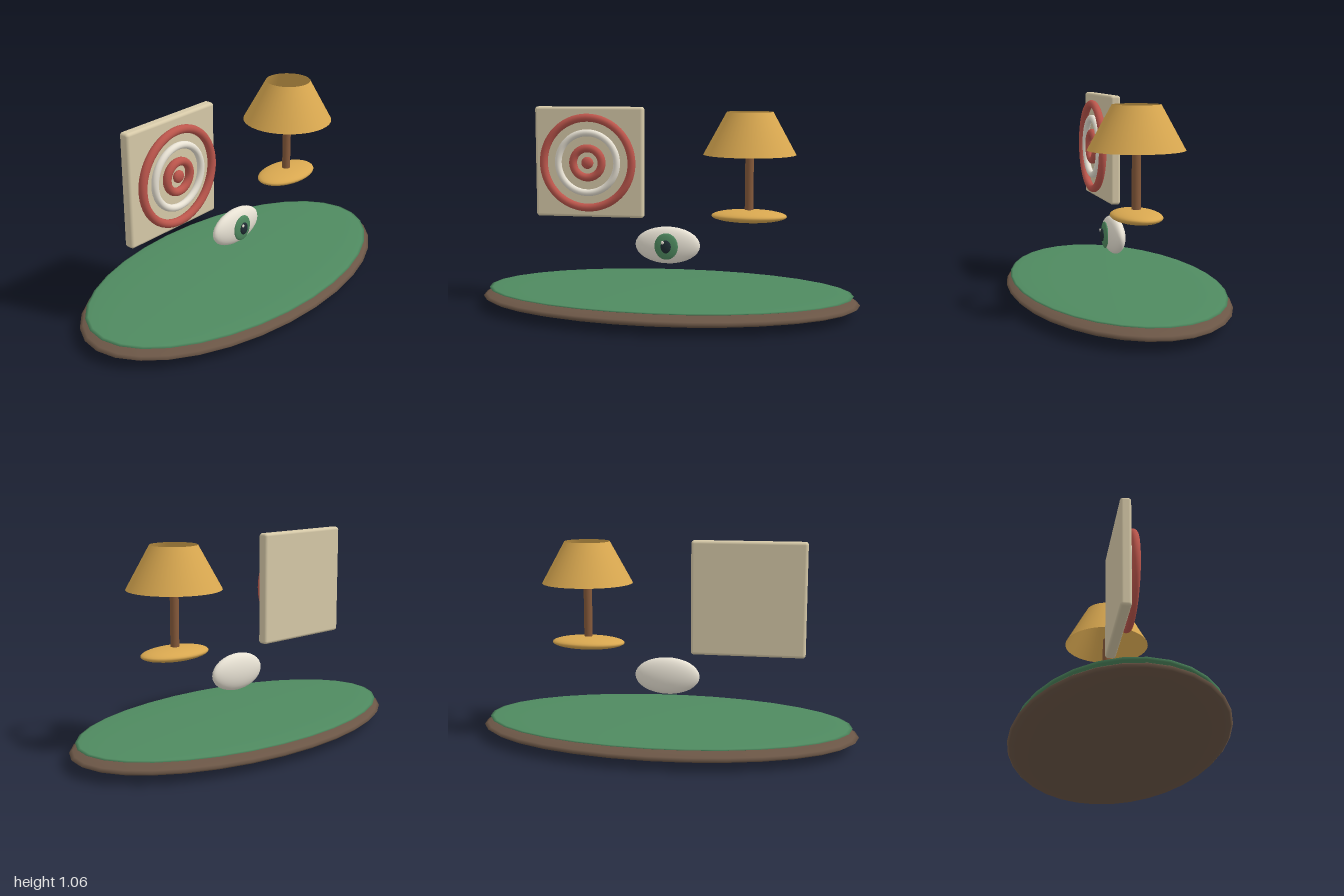
import * as THREE from 'three';
import { RoundedBoxGeometry } from 'three/addons/geometries/RoundedBoxGeometry.js';

export function createModel() {
  const model = new THREE.Group();
  const paint = (color) => new THREE.MeshStandardMaterial({ color });
  const brown = paint(0x6b5646), green = paint(0x4f8a60), cream = paint(0xd6c9a8);
  const red = paint(0xbc564c), white = paint(0xe8e2d4), gold = paint(0xd9a850);
  const wood = paint(0x85593a), dark = paint(0x1f2c33);
  const shadeGold = paint(0xd9a850);
  shadeGold.side = THREE.DoubleSide;

  function add(parent, name, geometry, material, x, y, z) {
    const mesh = new THREE.Mesh(geometry, material);
    mesh.name = name;
    mesh.position.set(x, y, z);
    parent.add(mesh);
    return mesh;
  }
  function group(name, x, y, z) {
    const g = new THREE.Group();
    g.name = name;
    g.position.set(x, y, z);
    model.add(g);
    return g;
  }
  const ellipsoid = (rx, ry, rz) => new THREE.SphereGeometry(1, 32, 16).scale(rx, ry, rz);

  // Oval island with a thin green top
  const island = group('island', 0, 0, 0);
  add(island, 'ground', ellipsoid(1, 0.058, 0.546), brown, 0, 0.058, 0);
  add(island, 'grass', ellipsoid(0.967, 0.019, 0.524), green, 0, 0.103, 0);

  // Floating eye, looking forward
  const eye = group('eye', 0, 0.342, 0);
  add(eye, 'eyeball', ellipsoid(0.172, 0.098, 0.047), white, 0, 0, 0);
  add(eye, 'iris', ellipsoid(0.062, 0.07, 0.013), green, 0, 0, 0.046);
  add(eye, 'pupil', ellipsoid(0.027, 0.034, 0.011), dark, 0, 0, 0.059);
  add(eye, 'glint', ellipsoid(0.008, 0.009, 0.004), white, -0.016, 0.023, 0.067);

  // Target board with concentric rings
  const target = group('target', -0.427, 0.768, 0);
  add(target, 'board', new RoundedBoxGeometry(0.585, 0.585, 0.055, 4, 0.015), cream, 0, 0, -0.05);
  const rings = [['outerRing', 0.237, 0.021, red], ['middleRing', 0.158, 0.018, white], ['innerRing', 0.077, 0.021, red]];
  for (const [name, radius, tube, material] of rings) {
    add(target, name, new THREE.TorusGeometry(radius, tube, 16, 64), material, 0, 0, 0.007);
  }
  add(target, 'bullseye', ellipsoid(0.032, 0.032, 0.02), red, 0, 0, 0.007);

  // Table lamp with an open conical shade
  const lamp = group('lamp', 0.425, 0, 0);
  add(lamp, 'lampBase', ellipsoid(0.195, 0.033, 0.122), gold, 0, 0.507, 0);
  add(lamp, 'lampPole', new THREE.CylinderGeometry(0.022, 0.022, 0.35, 24), wood, 0, 0.685, 0);
  add(lamp, 'lampShade', new THREE.CylinderGeometry(0.118, 0.237, 0.217, 48, 1, true), shadeGold, 0, 0.933, 0);

  return model;
}
